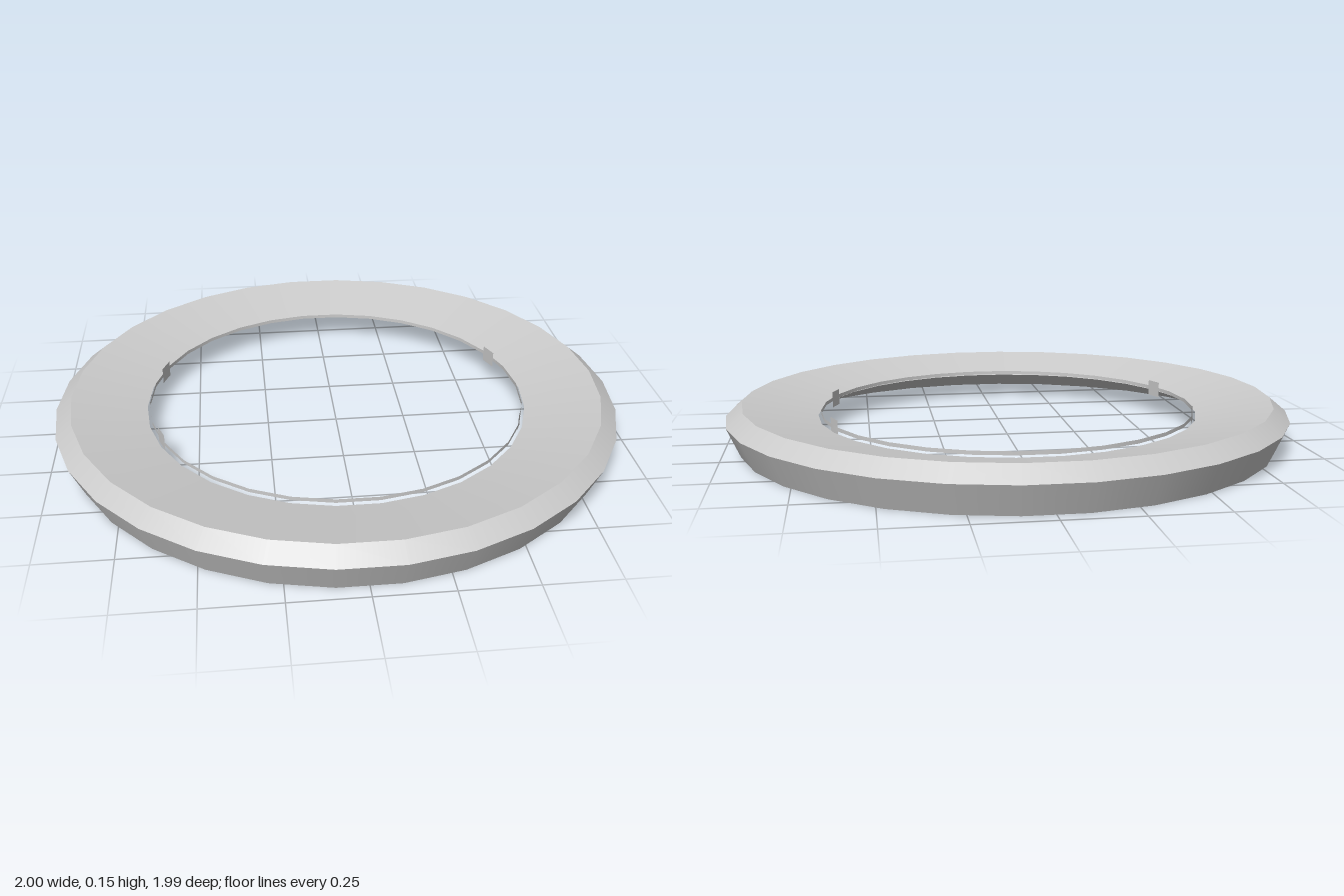
import * as THREE from 'three';

const SIDES = 30;

export function createModel() {
  const group = new THREE.Group();
  const solid = new THREE.MeshStandardMaterial({ color: 0xcccccc });
  const thin = new THREE.MeshStandardMaterial({ color: 0xcccccc, side: THREE.DoubleSide });

  const add = (name, geometry, material, parent = group) => {
    const mesh = new THREE.Mesh(geometry, material);
    mesh.name = name;
    parent.add(mesh);
    return mesh;
  };

  // Ring body: one lathed band per profile edge, so edges between bands stay sharp
  const profile = [[0.68, 0.094], [0.955, 0], [1, 0.103], [0.943, 0.15], [0.68, 0.094]]
    .map(([r, y]) => new THREE.Vector2(r, y));
  const body = new THREE.Group();
  body.name = 'ringBody';
  group.add(body);
  ['underside', 'outerWall', 'outerBevel', 'dishedTop'].forEach((name, i) =>
    add(name, new THREE.LatheGeometry([profile[i], profile[i + 1]], SIDES, Math.PI / 2), solid, body));

  // Thin band just inside the hole
  const band = new THREE.CylinderGeometry(0.67, 0.67, 0.013, SIDES, 1, true, Math.PI / 2);
  add('innerBand', band, thin).position.y = 0.105;

  // Four flat tabs, in pairs about the left and right
  for (const side of [0, Math.PI]) {
    for (const offset of [-1, 1]) {
      const angle = Math.PI / 2 + side + offset * THREE.MathUtils.degToRad(21);
      const tab = add('tab', new THREE.PlaneGeometry(0.065, 0.058), thin);
      tab.position.set(0.665 * Math.sin(angle), 0.104, 0.665 * Math.cos(angle));
      tab.rotation.y = angle;
    }
  }
  return group;
}
